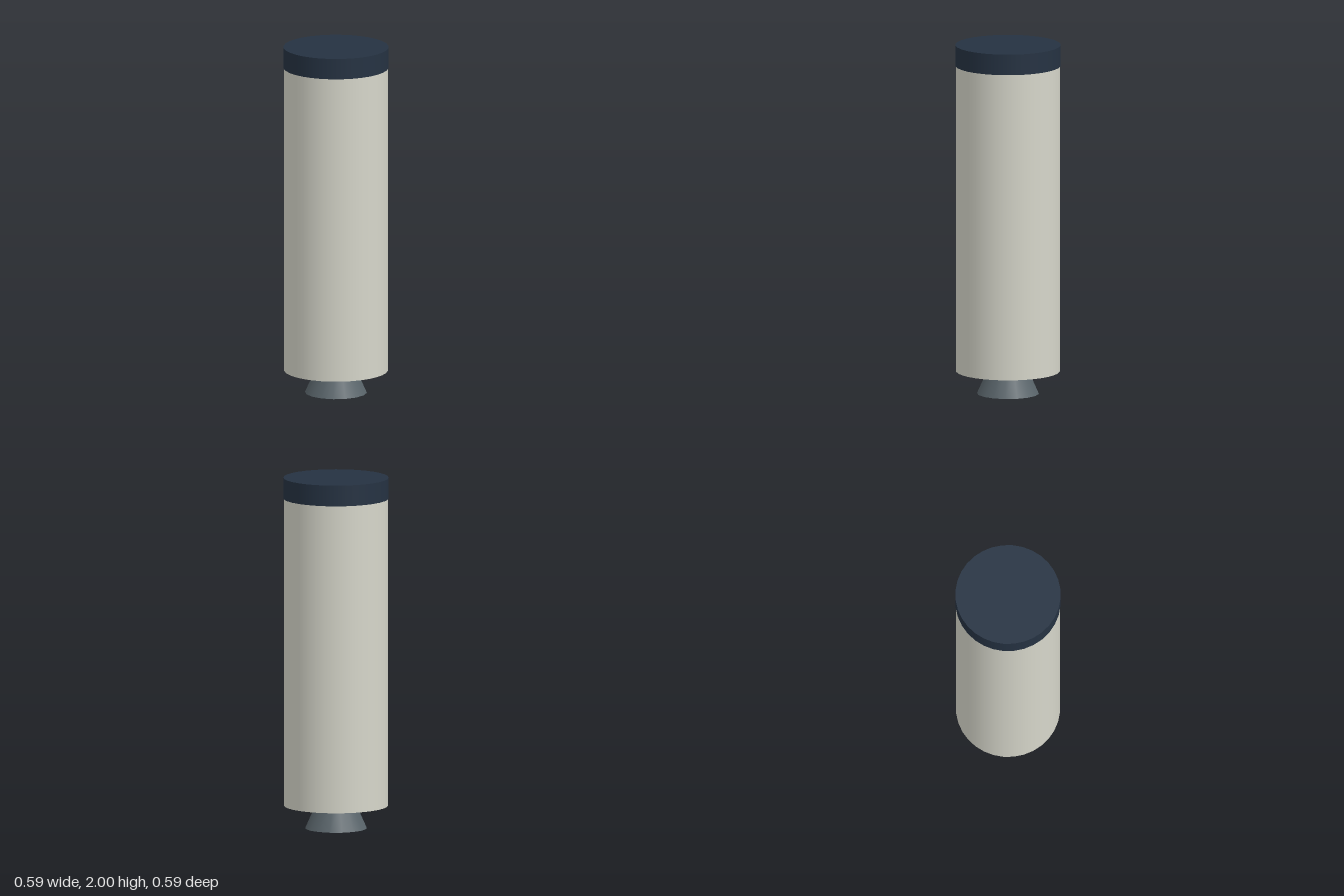
import * as THREE from 'three';

export function createModel() {
  const group = new THREE.Group();
  group.name = 'rocketStage';

  const material = (name, color) => {
    const m = new THREE.MeshStandardMaterial({ color });
    m.name = name;
    return m;
  };
  const shellPaint = material('warm pale grey', 0xd6d6ca);
  const capPaint = material('dark navy', 0x253242);
  const nozzleMetal = material('slate grey', 0x59646a);

  // Upright round part between two heights
  const round = (name, topRadius, bottomRadius, y0, y1, sides, mat) => {
    const geometry = new THREE.CylinderGeometry(topRadius, bottomRadius, y1 - y0, sides);
    const mesh = new THREE.Mesh(geometry, mat);
    mesh.name = name;
    mesh.position.y = (y0 + y1) / 2;
    group.add(mesh);
  };

  round('tankBody', 0.294, 0.294, 0.13, 1.882, 32, shellPaint);
  round('topCap', 0.297, 0.297, 1.882, 2, 32, capPaint);
  round('engineNozzle', 0.116, 0.175, 0, 0.132, 16, nozzleMetal);

  return group;
}
